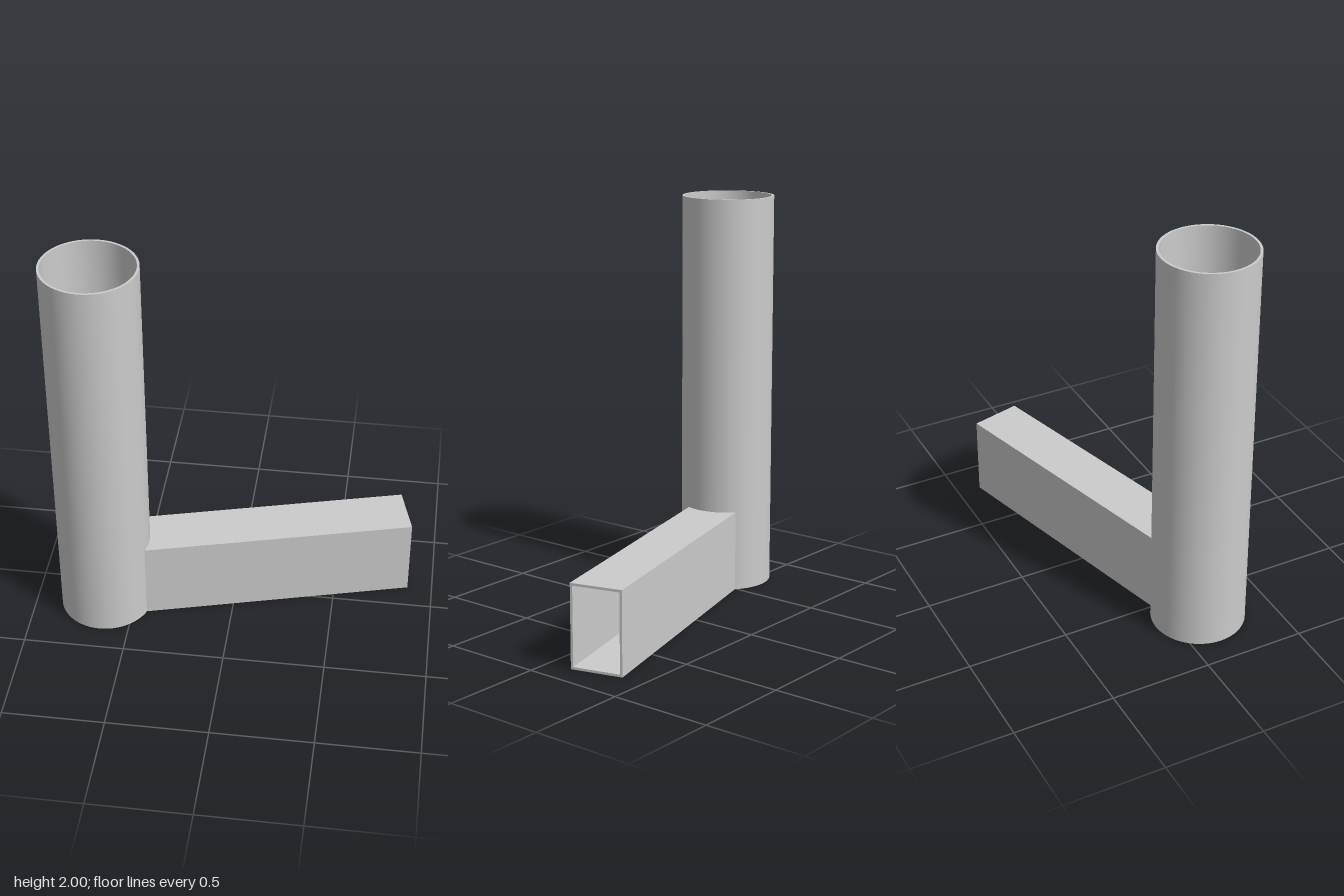
import * as THREE from 'three';
import { toCreasedNormals } from 'three/addons/utils/BufferGeometryUtils.js';

const R = 0.23, WALL = 0.012;                     // round tube
const LENGTH = 1.54, WIDTH = 0.258, HEIGHT = 0.41; // rectangular duct, length from tube axis
const ANGLE = THREE.MathUtils.degToRad(15);

// Horizontal slab along +x, its near end hollowed to fit the tube wall
function ductPlate(name, z0, z1, y0, y1, material) {
  const fit = R - 0.004;
  const shape = new THREE.Shape();
  shape.moveTo(LENGTH, z0);
  shape.lineTo(LENGTH, z1);
  const a0 = Math.asin(z1 / fit), a1 = Math.asin(z0 / fit);
  shape.absarc(0, 0, fit, a0, a1, true);
  shape.closePath();
  const geometry = new THREE.ExtrudeGeometry(shape, { depth: y1 - y0, bevelEnabled: false, curveSegments: 16 });
  geometry.rotateX(-Math.PI / 2).translate(0, y0, 0);
  const mesh = new THREE.Mesh(geometry, material);
  mesh.name = name;
  return mesh;
}

export function createModel() {
  const material = new THREE.MeshStandardMaterial({ color: 0xcccccc });
  const model = new THREE.Group();
  model.name = 'tubeWithSideDuct';
  model.position.set(-0.645, 0, 0.143);

  // Upright tube, open at the top and closed by a thin floor
  const r = R - WALL;
  const profile = [[0, 0], [R, 0], [R, 2], [r, 2], [r, WALL], [0, WALL]].map(([x, y]) => new THREE.Vector2(x, y));
  const tube = new THREE.Mesh(toCreasedNormals(new THREE.LatheGeometry(profile, 64), 0.6), material);
  tube.name = 'uprightTube';
  model.add(tube);

  // Rectangular duct, open at its far end
  const duct = new THREE.Group();
  duct.name = 'sideDuct';
  duct.rotation.y = ANGLE;
  const h = WIDTH / 2;
  duct.add(
    ductPlate('ductFloor', -h, h, 0, WALL, material),
    ductPlate('ductRoof', -h, h, HEIGHT - WALL, HEIGHT, material),
    ductPlate('ductBackWall', h - WALL, h, WALL, HEIGHT - WALL, material),
    ductPlate('ductFrontWall', -h, -h + WALL, WALL, HEIGHT - WALL, material),
  );
  model.add(duct);

  const root = new THREE.Group();
  root.add(model);
  return root;
}
